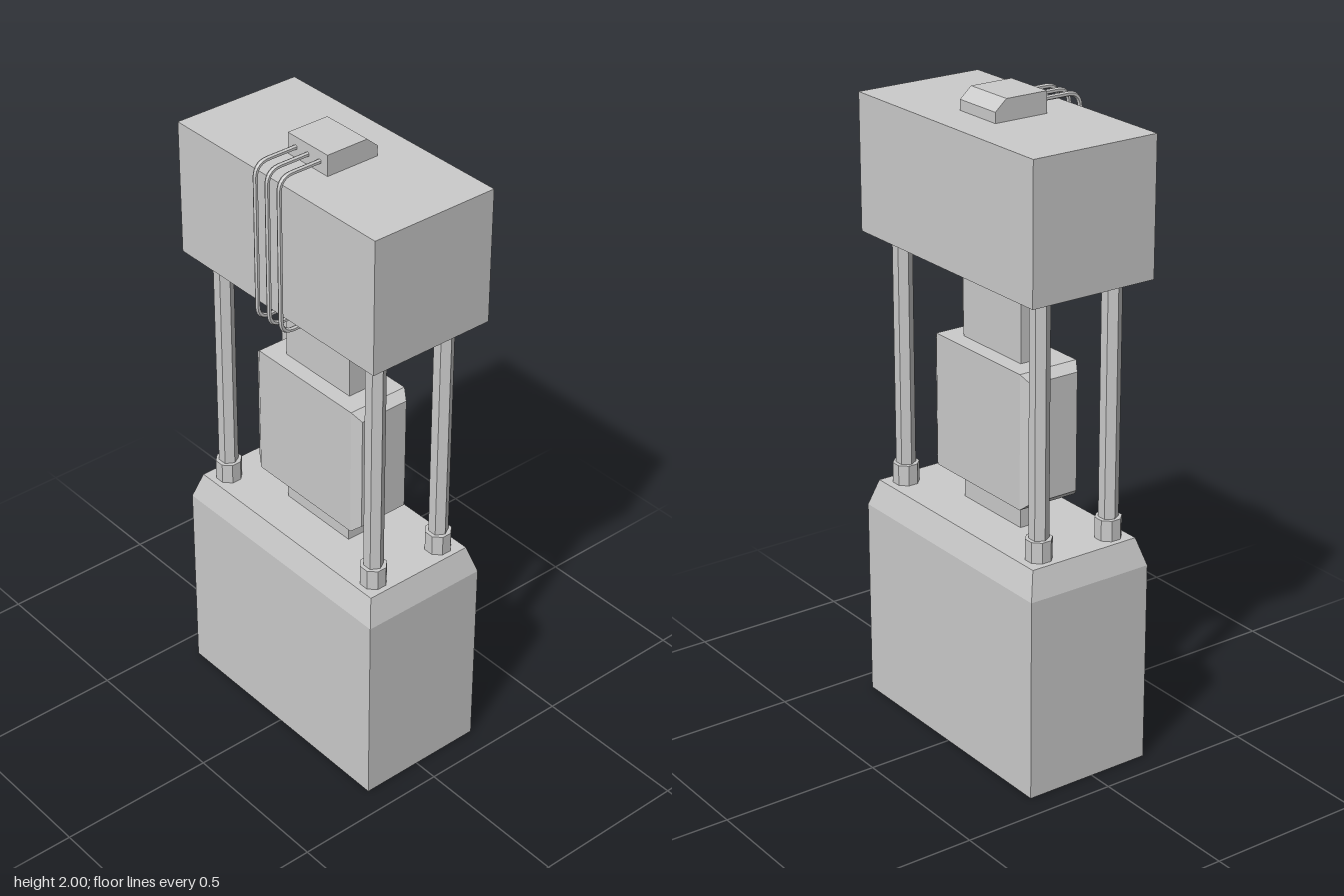
import * as THREE from 'three';

const MATERIAL = new THREE.MeshStandardMaterial({ color: 0xcccccc, flatShading: true });
const BODY_Z = -0.015; // depth centre of the body

function add(parent, name, geometry, x = 0, y = 0, z = 0) {
  const mesh = new THREE.Mesh(geometry, MATERIAL);
  mesh.name = name;
  mesh.position.set(x, y, z);
  parent.add(mesh);
  return mesh;
}

// Box placed by its bottom and top heights
function addBox(parent, name, width, bottom, top, depth, z) {
  return add(parent, name, new THREE.BoxGeometry(width, top - bottom, depth), 0, (bottom + top) / 2, z);
}

// Block through rectangular sections [y, width, depth], listed from bottom to top
function sectionBlock(sections) {
  const n = sections.length - 1;
  const box = new THREE.BoxGeometry(1, 1, 1, 1, n, 1);
  const p = box.attributes.position;
  for (let i = 0; i < p.count; i++) {
    const [y, w, d] = sections[Math.round((p.getY(i) + 0.5) * n)];
    p.setXYZ(i, p.getX(i) * w, y, p.getZ(i) * d);
  }
  const geometry = box.toNonIndexed();
  geometry.computeVertexNormals();
  return geometry;
}

// Pipe path: out of the cap, down the front and back into the neck
function pipePath() {
  const v = (y, z) => new THREE.Vector3(0, y, z);
  const top = 1.968, bottom = 1.472, front = 0.214, r = 0.045;
  const path = new THREE.CurvePath();
  path.add(new THREE.LineCurve3(v(top, 0.06), v(top, front - r)));
  path.add(new THREE.QuadraticBezierCurve3(v(top, front - r), v(top, front), v(top - r, front)));
  path.add(new THREE.LineCurve3(v(top - r, front), v(bottom + r, front)));
  path.add(new THREE.QuadraticBezierCurve3(v(bottom + r, front), v(bottom, front), v(bottom, front - r)));
  path.add(new THREE.LineCurve3(v(bottom, front - r), v(bottom, 0.03)));
  return path;
}

export function createModel() {
  const model = new THREE.Group();
  model.name = 'press';

  // Base with a bevelled top, and the upper block
  add(model, 'base', sectionBlock([[0, 0.84, 0.42], [0.635, 0.84, 0.42], [0.72, 0.785, 0.37]]), 0, 0, BODY_Z);
  addBox(model, 'upperBlock', 0.84, 1.515, 1.935, 0.42, BODY_Z);

  // Central neck and the block around it, bevelled at both ends
  addBox(model, 'neck', 0.282, 0.70, 1.53, 0.098, -0.009);
  const middle = sectionBlock([
    [-0.236, 0.37, 0.165], [-0.207, 0.42, 0.2], [0.207, 0.42, 0.2], [0.236, 0.37, 0.165],
  ]);
  add(model, 'middleBlock', middle, 0, 1.024, -0.01).rotation.z = Math.PI / 2;

  // Four hexagonal columns standing in collars
  const columnGeometry = new THREE.CylinderGeometry(0.03, 0.03, 0.83, 6).rotateY(Math.PI / 2);
  const collarGeometry = new THREE.CylinderGeometry(0.041, 0.041, 0.075, 8).rotateY(Math.PI / 8);
  for (const side of [1, -1]) {
    for (const z of [0.113, -0.138]) {
      const support = new THREE.Group();
      support.name = (side > 0 ? 'left' : 'right') + (z > 0 ? 'Front' : 'Back') + 'Support';
      support.position.set(side * 0.337, 0, z);
      add(support, 'column', columnGeometry, 0, 1.115, 0);
      add(support, 'collar', collarGeometry, 0, 0.7475, 0);
      model.add(support);
    }
  }

  // Top cap, bevelled at the back
  const profile = new THREE.Shape([
    [0.073, 1.93], [0.073, 2], [-0.067, 2], [-0.105, 1.967], [-0.105, 1.93],
  ].map(([z, y]) => new THREE.Vector2(-z, y)));
  const cap = new THREE.ExtrudeGeometry(profile, { depth: 0.168, bevelEnabled: false });
  cap.translate(0, 0, -0.084).rotateY(Math.PI / 2);
  add(model, 'topCap', cap);

  // Three pipes
  const pipeGeometry = new THREE.TubeGeometry(pipePath(), 90, 0.0075, 6);
  for (const x of [-0.051, 0, 0.051]) add(model, 'pipe', pipeGeometry, x);

  return model;
}
